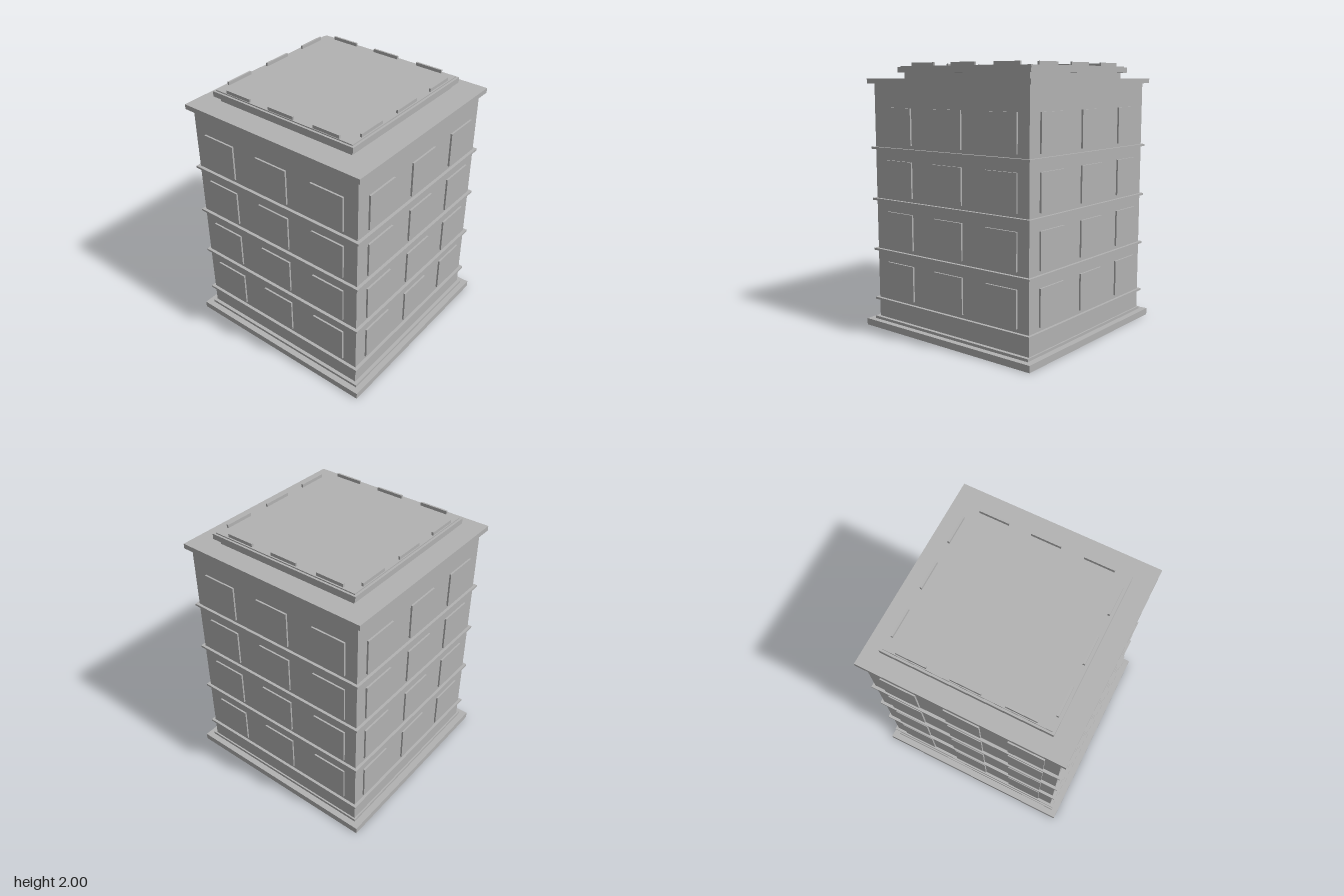
import * as THREE from 'three';

export function createModel() {
  const building = new THREE.Group();
  building.name = 'building';
  const stone = new THREE.MeshStandardMaterial({ color: 0xb2b2b2 });
  stone.name = 'grey stone';

  // Box given by its limits on each axis
  function block(name, [x0, x1], [y0, y1], [z0, z1]) {
    const mesh = new THREE.Mesh(new THREE.BoxGeometry(x1 - x0, y1 - y0, z1 - z0), stone);
    mesh.name = name;
    mesh.position.set((x0 + x1) / 2, (y0 + y1) / 2, (z0 + z1) / 2);
    building.add(mesh);
  }

  // Plinth, walls and cornice
  block('plinth', [-0.787, 0.783], [0, 0.05], [-0.787, 0.785]);
  block('plinthStep', [-0.741, 0.737], [0.05, 0.07], [-0.737, 0.741]);
  block('walls', [-0.714, 0.725], [0.07, 1.85], [-0.725, 0.714]);
  block('cornice', [-0.754, 0.762], [1.849, 1.886], [-0.765, 0.752]);

  // Raised roof: recessed neck, slab and thin top
  block('roofNeck', [-0.566, 0.603], [1.886, 1.93], [-0.6, 0.55]);
  block('roofSlab', [-0.603, 0.638], [1.928, 1.968], [-0.634, 0.585]);
  block('roofTop', [-0.586, 0.622], [1.968, 1.976], [-0.618, 0.568]);

  // Each storey: a string course and three window panels on every side
  const half = 0.135;
  for (let floor = 0; floor < 4; floor++) {
    const rise = floor * 0.387;
    block('stringCourse', [-0.738, 0.746], [0.204 + rise, 0.22 + rise], [-0.746, 0.738]);
    const y = [0.247 + rise, 0.514 + rise];
    for (const c of [-0.468, 0.013, 0.495]) {
      const x = [c - half, c + half];
      const z = [-c - half, -c + half];
      block('frontWindow', x, y, [0.70, 0.728]);
      block('backWindow', x, y, [-0.738, -0.71]);
      block('leftWindow', [0.71, 0.738], y, z);
      block('rightWindow', [-0.728, -0.70], y, z);
    }
  }

  // Low parapet strips around the roof edge
  const top = [1.97, 2];
  for (let i = -1; i <= 1; i++) {
    const cx = 0.023 + i * 0.392;
    const cz = -0.031 + i * 0.382;
    const x = [cx - 0.112, cx + 0.112];
    const z = [cz - 0.108, cz + 0.108];
    block('frontParapet', x, top, [0.544, 0.558]);
    block('backParapet', x, top, [-0.611, -0.597]);
    block('leftParapet', [0.596, 0.611], top, z);
    block('rightParapet', [-0.581, -0.566], top, z);
  }
  return building;
}
